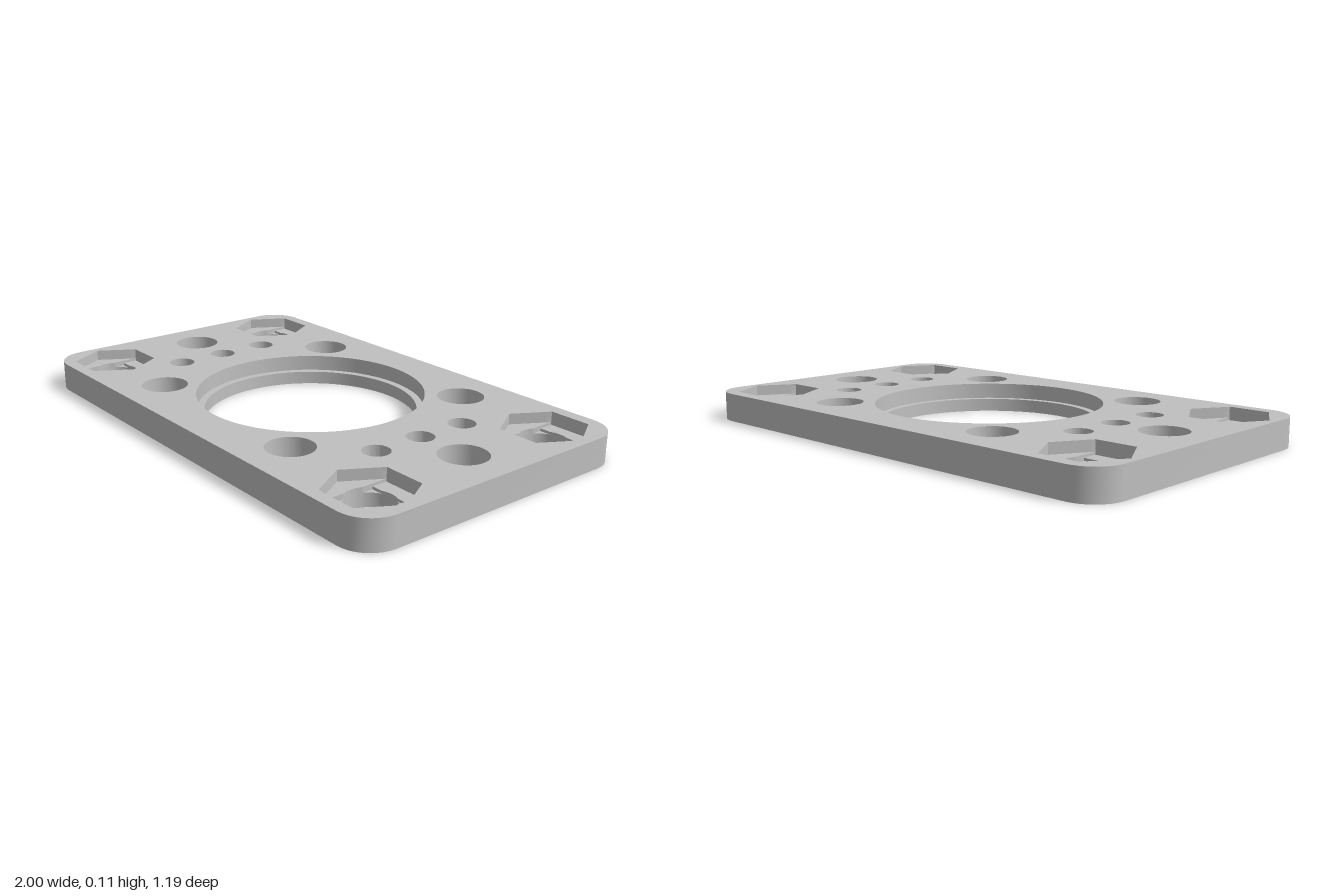
import * as THREE from 'three';
import { toCreasedNormals } from 'three/addons/utils/BufferGeometryUtils.js';

const H = 0.112;               // plate thickness
const PITCH = 0.405;           // hole grid spacing
const R = 0.089;               // bolt hole radius
const HEX = 0.14;              // nut pocket, centre to flat
const SLOT = HEX / Math.sqrt(3); // half of a hexagon side

// Polar outlines: radius as a function of angle
const circle = (r) => () => r;
const box = (hx, hz) => (t) =>
  Math.min(hx / Math.max(Math.abs(Math.cos(t)), 1e-6), hz / Math.max(Math.abs(Math.sin(t)), 1e-6));
const hexagon = (t) => {
  let c = 0;
  for (let k = 0; k < 6; k++) c = Math.max(c, Math.cos(t - Math.PI / 6 - k * Math.PI / 3));
  return HEX / c;
};
const union = (a, b) => (t) => Math.max(a(t), b(t));

// Evenly spaced angles plus exact corner angles, mirrored into all quadrants
function makeAngles(count, corners = []) {
  const list = [];
  for (let i = 0; i < count; i++) list.push((i / count) * Math.PI * 2);
  for (const a of corners) list.push(a, Math.PI - a, Math.PI + a, Math.PI * 2 - a);
  list.sort((a, b) => a - b);
  return list.filter((a, i) => i === 0 || a - list[i - 1] > 1e-4);
}

const ring = (angles, outline, x, z) => angles.map((t) =>
  new THREE.Vector2(x + outline(t) * Math.cos(t), z + outline(t) * Math.sin(t)));

// Skin through stacked rings of [points, y]; faces the axis unless outward
function loft(rings, outward = false) {
  const pos = [];
  const a = new THREE.Vector3(), b = new THREE.Vector3();
  const tri = (p, q, r) => {
    if (a.subVectors(q, p).cross(b.subVectors(r, p)).length() < 1e-9) return;
    for (const v of outward ? [p, r, q] : [p, q, r]) pos.push(v.x, v.y, v.z);
  };
  for (let k = 0; k + 1 < rings.length; k++) {
    const [lo, y0] = rings[k], [hi, y1] = rings[k + 1];
    lo.forEach((p, i) => {
      const j = (i + 1) % lo.length;
      const a0 = new THREE.Vector3(p.x, y0, p.y), a1 = new THREE.Vector3(lo[j].x, y0, lo[j].y);
      const b0 = new THREE.Vector3(hi[i].x, y1, hi[i].y), b1 = new THREE.Vector3(hi[j].x, y1, hi[j].y);
      tri(a0, a1, b0);
      tri(a1, b1, b0);
    });
  }
  const g = new THREE.BufferGeometry();
  g.setAttribute('position', new THREE.Float32BufferAttribute(pos, 3));
  return toCreasedNormals(g, 0.6);
}

// Flat face of the plate with openings
function cap(outline, openings, y, up) {
  const shape = new THREE.Shape(outline);
  shape.holes = openings.map((pts) => new THREE.Path(pts));
  const g = new THREE.ShapeGeometry(shape).rotateX(Math.PI / 2).translate(0, y, 0);
  if (up) g.setIndex(Array.from(g.index.array).reverse());
  g.computeVertexNormals();
  return g;
}

export function createModel() {
  const grey = new THREE.MeshStandardMaterial({ color: 0xc0c0c0 });
  grey.name = 'light grey';
  const model = new THREE.Group();
  model.name = 'mountingPlate';
  const add = (name, geometry) => {
    const mesh = new THREE.Mesh(geometry, grey);
    mesh.name = name;
    model.add(mesh);
  };

  // Rounded rectangle outline
  const outline = [];
  const W = 1, D = 0.594, C = 0.125, STEPS = 12;
  [[1, 1], [-1, 1], [-1, -1], [1, -1]].forEach(([sx, sz], q) => {
    for (let i = 0; i <= STEPS; i++) {
      const t = (q + i / STEPS) * Math.PI / 2;
      outline.push(new THREE.Vector2(sx * (W - C) + C * Math.cos(t), sz * (D - C) + C * Math.sin(t)));
    }
  });

  const bottoms = [], tops = [];
  // Cut an opening: levels are [polar outline, height] from bottom to top
  const cut = (name, x, z, angles, levels) => {
    const rings = levels.map(([o, y]) => [ring(angles, o, x, z), y]);
    bottoms.push(rings[0][0]);
    tops.push(rings[rings.length - 1][0]);
    add(name, loft(rings));
  };

  // Large central bore with a shallow step
  cut('centreBore', 0, 0, makeAngles(96),
    [[circle(0.409), 0], [circle(0.409), 0.051], [circle(0.438), 0.051], [circle(0.438), H]]);

  // Nut pockets: round hole, square, slot, then hexagon
  const bore = circle(R);
  const square = union(bore, box(SLOT, SLOT));
  const slot = union(bore, box(SLOT, HEX));
  const meet = Math.acos(SLOT / R);
  const pocketAngles = makeAngles(48,
    [meet, Math.PI / 2 - meet, Math.PI / 4, Math.PI / 3]);
  const pocket = [
    [bore, 0], [bore, 0.051], [square, 0.051], [square, 0.061],
    [slot, 0.061], [slot, 0.071], [hexagon, 0.071], [hexagon, H],
  ];

  const holeAngles = makeAngles(48);
  const plain = (r) => [[circle(r), 0], [circle(r), H]];
  for (const sx of [-1, 1]) {
    for (const sz of [-1, 1]) {
      cut('nutPocket', sx * 2 * PITCH, sz * PITCH, pocketAngles, pocket);
      cut('boltHole', sx * PITCH, sz * PITCH, holeAngles, plain(R));
    }
    cut('boltHole', sx * 2 * PITCH, 0, holeAngles, plain(R));
    // Row of small holes
    for (const k of [-1, 0, 1]) cut('smallHole', sx * 1.5 * PITCH, k * PITCH / 2, holeAngles, plain(0.051));
  }

  // Outer skin
  add('plateRim', loft([[outline, 0], [outline, H]], true));
  add('plateTop', cap(outline, tops, H, true));
  add('plateBottom', cap(outline, bottoms, 0, false));
  return model;
}
